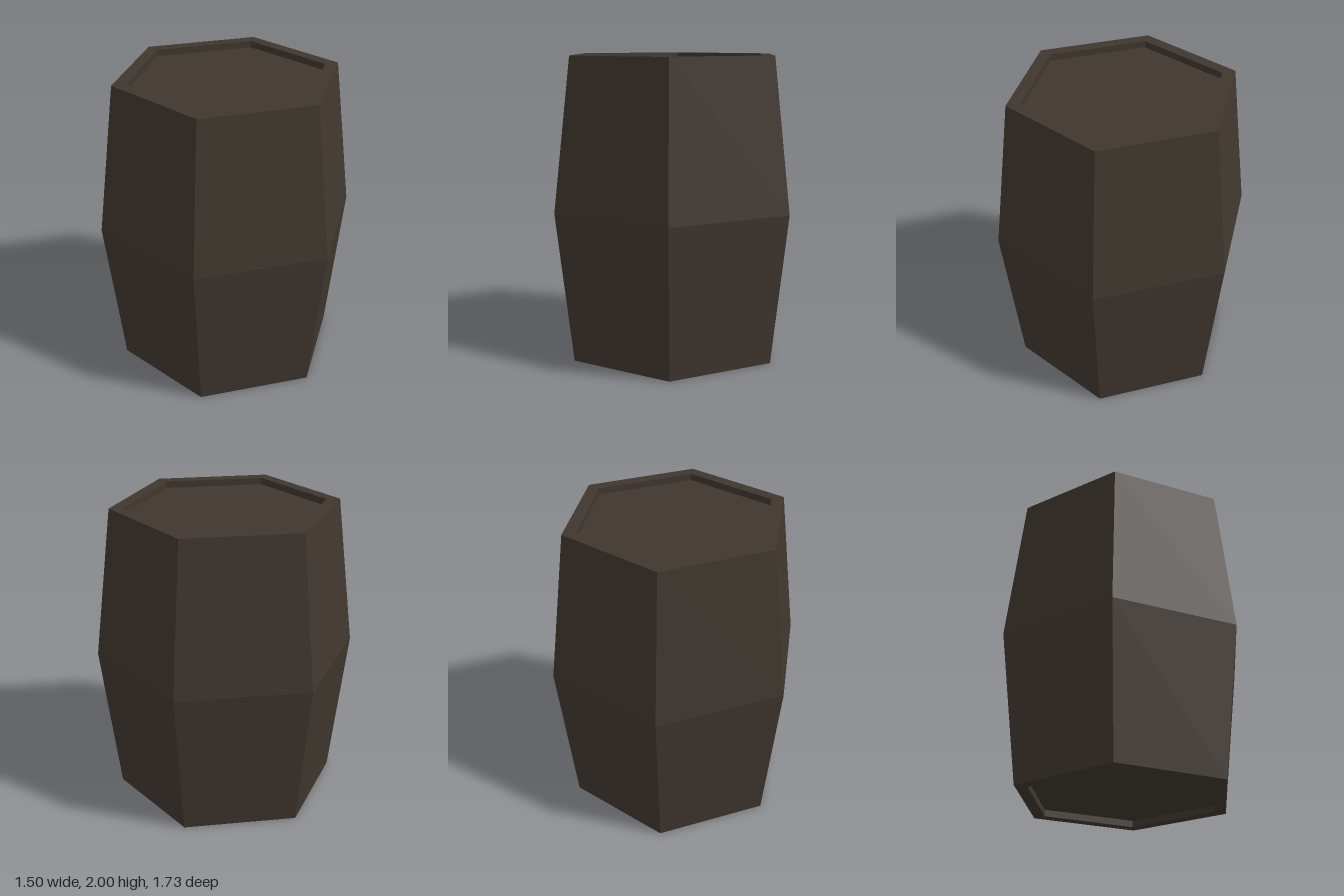
import * as THREE from 'three';

const SIDES = 6;
const HEIGHT = 2;
const MID_R = 0.866; // widest corner radius, at half height
const END_R = 0.745; // outer corner radius at both ends
const HEAD_R = 0.655; // corner radius of the recessed heads
const RECESS = 0.045; // depth of the heads below the rim

// Six-sided band swept from a profile of [radius, height], with faceted normals
function facetedBand(profile) {
  const points = profile.map(([r, y]) => new THREE.Vector2(r, y));
  const geometry = new THREE.LatheGeometry(points, SIDES).toNonIndexed();
  geometry.computeVertexNormals();
  return geometry;
}

export function createModel() {
  const darkWood = new THREE.MeshStandardMaterial({ color: 0x40372f });
  darkWood.name = 'darkWood';

  const barrel = new THREE.Group();
  barrel.name = 'barrel';

  const add = (name, geometry) => {
    const mesh = new THREE.Mesh(geometry, darkWood);
    mesh.name = name;
    barrel.add(mesh);
    return mesh;
  };

  // Bulging outer wall
  add('staves', facetedBand([[END_R, 0], [MID_R, HEIGHT / 2], [END_R, HEIGHT]]));

  // Flat rims with the short inner walls down to the heads
  add('topRim', facetedBand([[END_R, HEIGHT], [HEAD_R, HEIGHT], [HEAD_R, HEIGHT - RECESS]]));
  add('bottomRim', facetedBand([[HEAD_R, RECESS], [HEAD_R, 0], [END_R, 0]]));

  // Recessed hexagonal heads, one facing up and one facing down
  for (const [name, y, turn] of [
    ['topHead', HEIGHT - RECESS, -Math.PI / 2],
    ['bottomHead', RECESS, Math.PI / 2],
  ]) {
    const head = new THREE.CircleGeometry(HEAD_R, SIDES, Math.PI / 2);
    head.rotateX(turn);
    add(name, head).position.y = y;
  }

  return barrel;
}
